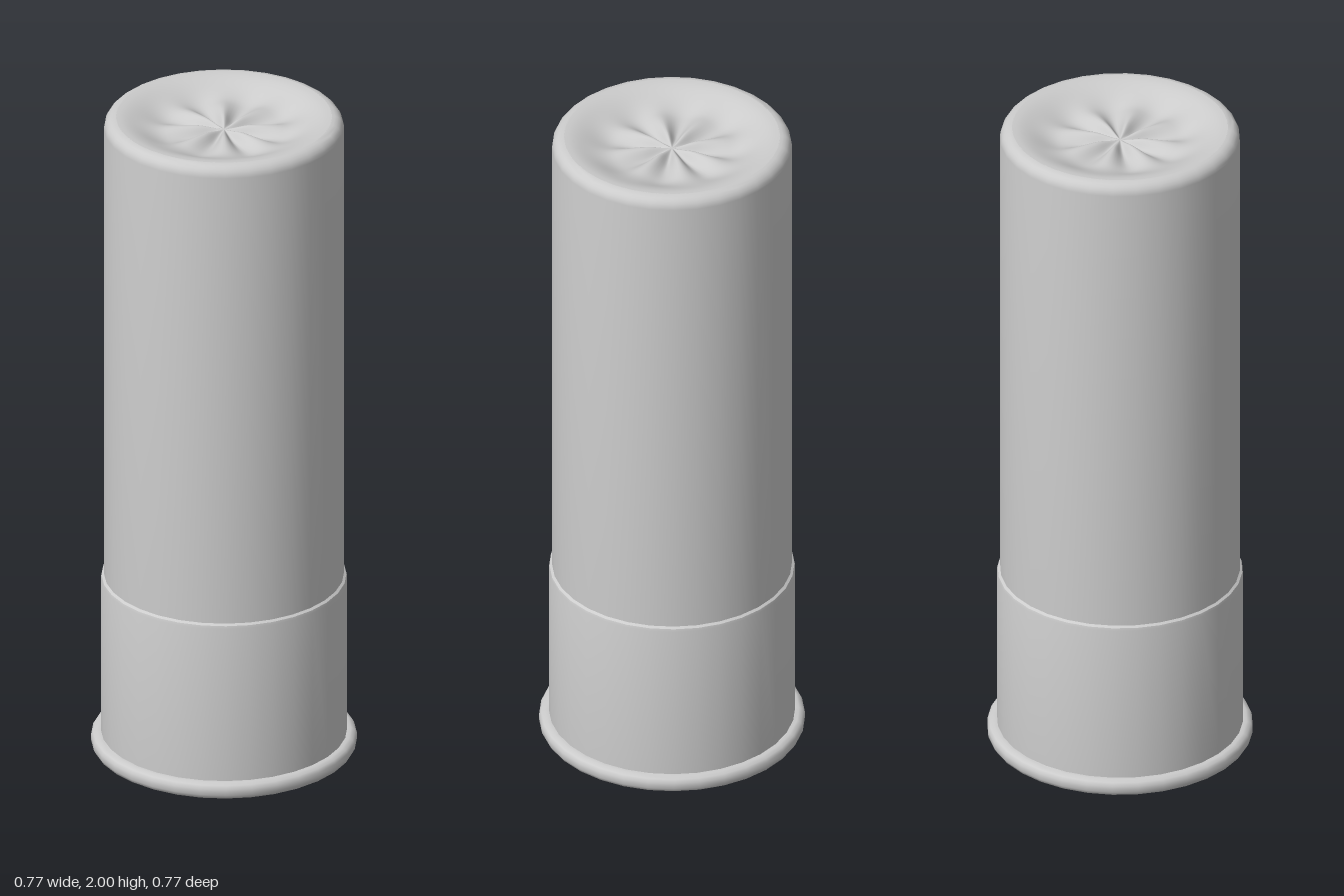
import * as THREE from 'three';
import { mergeVertices, toCreasedNormals } from 'three/addons/utils/BufferGeometryUtils.js';

const SIDES = 32;
const material = new THREE.MeshStandardMaterial({ color: 0xcccccc, side: THREE.DoubleSide });

// Turned part from [radius, height] pairs; smooth around, crisp at hard corners
function turned(name, profile) {
  const points = profile.map(([r, y]) => new THREE.Vector2(r, y));
  const geometry = toCreasedNormals(new THREE.LatheGeometry(points, SIDES), 0.65);
  const mesh = new THREE.Mesh(geometry, material);
  mesh.name = name;
  return mesh;
}

// Shallow dished end with eight radial folds meeting in the middle
function foldedCrimp(outerRadius, topY) {
  const folds = 8, rings = 24;
  const points = [];
  for (let i = 0; i <= rings; i++) {
    points.push(new THREE.Vector2(outerRadius * (1 - i / rings), topY));
  }
  let geometry = new THREE.LatheGeometry(points, SIDES * 3);
  const pos = geometry.attributes.position;
  for (let i = 0; i < pos.count; i++) {
    const x = pos.getX(i), z = pos.getZ(i);
    const r = Math.hypot(x, z);
    const dish = 0.04 * (1 - THREE.MathUtils.smoothstep(r, 0.17, outerRadius));
    const fade = THREE.MathUtils.smoothstep(r, 0, 0.08) *
      (1 - THREE.MathUtils.smoothstep(r, 0.1, 0.27));
    const wave = Math.cos(folds * Math.atan2(z, x));
    pos.setY(i, topY - dish - 0.013 * fade * wave);
  }
  geometry.deleteAttribute('uv');
  geometry.deleteAttribute('normal');
  geometry = mergeVertices(geometry, 1e-5);
  geometry.computeVertexNormals();
  const mesh = new THREE.Mesh(geometry, material);
  mesh.name = 'foldedCrimp';
  return mesh;
}

export function createModel() {
  const group = new THREE.Group();
  group.name = 'cartridge';

  // Metal base: flat underside, rounded flange, straight cup and rolled lip
  group.add(turned('metalBase', [
    [0.114, 0.008], [0.114, 0], [0.365, 0], [0.377, 0.007], [0.383, 0.018],
    [0.383, 0.036], [0.377, 0.046], [0.366, 0.051], [0.355, 0.051],
    [0.355, 0.535], [0.353, 0.543], [0.346, 0.548],
  ]));

  // Round cap set into the underside
  group.add(turned('primer', [[0, 0.002], [0.107, 0.002], [0.111, 0.008], [0.114, 0.008]]));

  // Long tube with a rounded top edge
  const hull = [[0.346, 0.53]];
  const bend = 0.035, steps = 6;
  for (let i = 0; i <= steps; i++) {
    const a = (i / steps) * Math.PI / 2;
    hull.push([0.346 - bend + bend * Math.cos(a), 2 - bend + bend * Math.sin(a)]);
  }
  group.add(turned('hull', hull));

  group.add(foldedCrimp(0.346 - bend, 2));
  return group;
}
